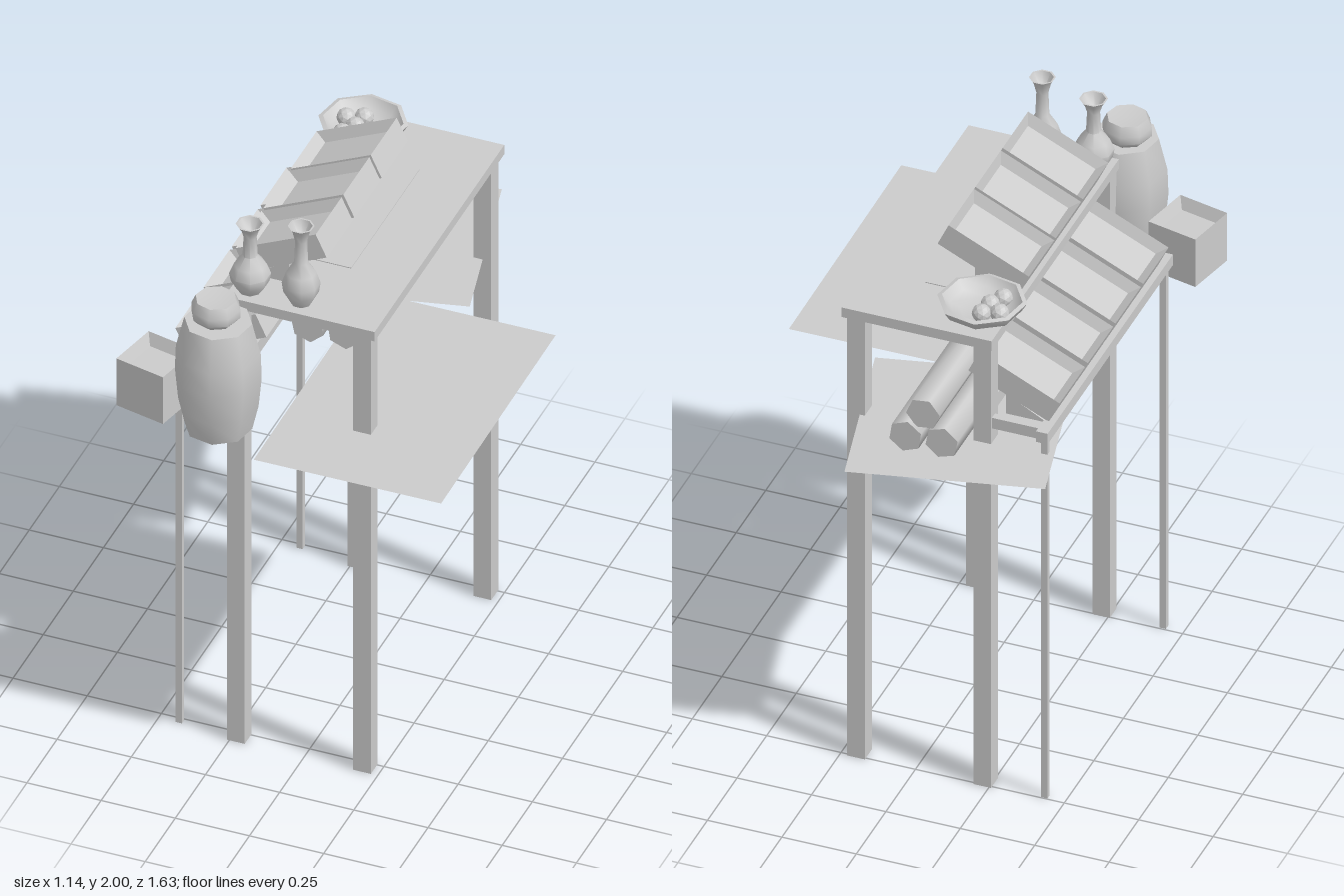
import * as THREE from 'three';
import { toCreasedNormals } from 'three/addons/utils/BufferGeometryUtils.js';

const flat = new THREE.MeshStandardMaterial({ color: 0xcccccc, flatShading: true });
const smooth = new THREE.MeshStandardMaterial({ color: 0xcccccc });
const thin = new THREE.MeshStandardMaterial({ color: 0xcccccc, side: THREE.DoubleSide });

export function createModel() {
  const model = new THREE.Group();

  function add(name, geometry, x = 0, y = 0, z = 0, material = flat, parent = model) {
    const mesh = new THREE.Mesh(geometry, material);
    mesh.name = name;
    mesh.position.set(x, y, z);
    parent.add(mesh);
    return mesh;
  }

  // Box given by its limits on each axis
  function block(name, x0, x1, y0, y1, z0, z1) {
    return add(name, new THREE.BoxGeometry(x1 - x0, y1 - y0, z1 - z0),
      (x0 + x1) / 2, (y0 + y1) / 2, (z0 + z1) / 2);
  }

  // Eight-sided turned vessel; sharp rims, soft sides
  function turned(name, profile, x, y, z, turn = 0) {
    const points = profile.map(([r, h]) => new THREE.Vector2(r, h));
    const geometry = toCreasedNormals(new THREE.LatheGeometry(points, 8), 0.9);
    const mesh = add(name, geometry, x, y, z, smooth);
    mesh.rotation.y = turn;
    return mesh;
  }

  // Four-sided crate with a sloping inner wall and sunken floor
  function crateGeometry(width, height, depth, inner, sink) {
    const points = [[0, 0], [1, 0], [1, height], [inner, height - sink], [0, height - sink]]
      .map(([r, h]) => new THREE.Vector2(r * Math.SQRT1_2, h));
    return new THREE.LatheGeometry(points, 4).rotateY(Math.PI / 4).scale(width, 1, depth);
  }

  // Table
  block('tableTop', -0.265, 0.24, 1.671, 1.707, -0.523, 0.553);
  block('tableInset', -0.22, 0.045, 1.63, 1.71, -0.3, 0.267);
  for (const [x0, x1] of [[-0.257, -0.198], [0.167, 0.227]])
    for (const [z0, z1] of [[-0.508, -0.447], [0.497, 0.552]])
      block('tableLeg', x0, x1, 0, 1.672, z0, z1);

  // Lower rack
  block('rackFrontRail', -0.451, -0.412, 1.36, 1.4, -0.518, 0.542);
  block('rackBackRail', -0.25, -0.21, 1.4, 1.45, -0.45, 0.5);
  for (const z of [-0.487, 0.515]) {
    block('rackCrossbar', -0.412, -0.25, 1.36, 1.4, z - 0.013, z + 0.013);
    block('rackLeg', -0.442, -0.421, 0, 1.362, z - 0.01, z + 0.01);
  }

  // Tilted trays, each on a small wedge
  const trayGeometry = crateGeometry(0.298, 0.087, 0.215, 0.84, 0.035);
  const wedge = new THREE.Shape([[-0.245, 1.707], [-0.106, 1.707], [-0.106, 1.783]]
    .map(([x, y]) => new THREE.Vector2(x, y)));
  const wedgeGeometry = new THREE.ExtrudeGeometry(wedge, { depth: 0.215, bevelEnabled: false });
  function tray(dx, dy, z) {
    const group = new THREE.Group();
    group.name = 'tray';
    group.position.set(dx, dy, z);
    add('trayBox', trayGeometry, -0.115, 1.775, 0, flat, group).rotation.z = 0.437;
    add('trayWedge', wedgeGeometry, 0, 0, -0.1075, flat, group);
    model.add(group);
  }
  [-0.155, 0.072, 0.302].forEach(z => tray(0, 0, z));
  [-0.343, -0.105, 0.129, 0.363].forEach(z => tray(-0.178, -0.315, z));

  // Rugs laid flat
  const rugA = add('rug', new THREE.PlaneGeometry(0.63, 0.965).rotateX(-Math.PI / 2),
    0.25, 1.307, 0.328, thin);
  rugA.rotation.y = 0.006;
  const rugB = add('turnedRug', new THREE.PlaneGeometry(0.634, 0.634).rotateX(-Math.PI / 2),
    -0.125, 1.305, -0.437, thin);
  rugB.rotation.y = 0.227;

  // Rolled rugs stacked in a pile
  const rollGeometry = toCreasedNormals(
    new THREE.CylinderGeometry(0.057, 0.057, 0.808, 6).rotateX(Math.PI / 2), 1.1);
  for (const [x, y, z, turn] of [[-0.143, 1.365, -0.235, 0.2], [-0.024, 1.365, -0.243, 0.15],
    [-0.077, 1.452, -0.227, 0.4]])
    add('rolledRug', rollGeometry, x, y, z, smooth).rotation.z = turn;

  // Large jar with lid
  turned('jar', [[0, 0], [0.108, 0], [0.128, 0.09], [0.138, 0.2], [0.135, 0.29],
    [0.108, 0.403], [0, 0.403]], -0.235, 1.305, 0.68, 0.2);
  turned('jarLid', [[0, 0], [0.062, 0], [0.08, 0.02], [0.08, 0.048], [0.066, 0.08], [0, 0.072]],
    -0.245, 1.708, 0.675, 0.1);

  // Small open crate
  add('crate', crateGeometry(0.177, 0.18, 0.177, 0.8, 0.04), -0.464, 1.305, 0.635)
    .rotation.y = -0.22;

  // Vases
  const vase = [[0, 0], [0.034, 0], [0.056, 0.04], [0.061, 0.075], [0.048, 0.115], [0.022, 0.155],
    [0.019, 0.235], [0.027, 0.268], [0.042, 0.293], [0.036, 0.293], [0.014, 0.25], [0, 0.245]];
  turned('tallVase', vase, -0.033, 1.707, 0.49, 0.39);
  turned('shortVase', vase.map(([r, h]) => [r * 1.08, h * 0.872]), -0.205, 1.707, 0.49, 0.39);

  // Bowl of fruit
  turned('bowl', [[0, 0], [0.075, 0], [0.125, 0.03], [0.143, 0.06], [0.128, 0.064],
    [0.105, 0.036], [0.07, 0.02], [0, 0.018]], -0.185, 1.708, -0.4, 0.2);
  const fruitGeometry = new THREE.IcosahedronGeometry(0.031, 1);
  for (const [x, z] of [[-0.2, -0.445], [-0.252, -0.423], [-0.207, -0.388], [-0.232, -0.341]])
    add('fruit', fruitGeometry, x, 1.748, z);

  return model;
}
